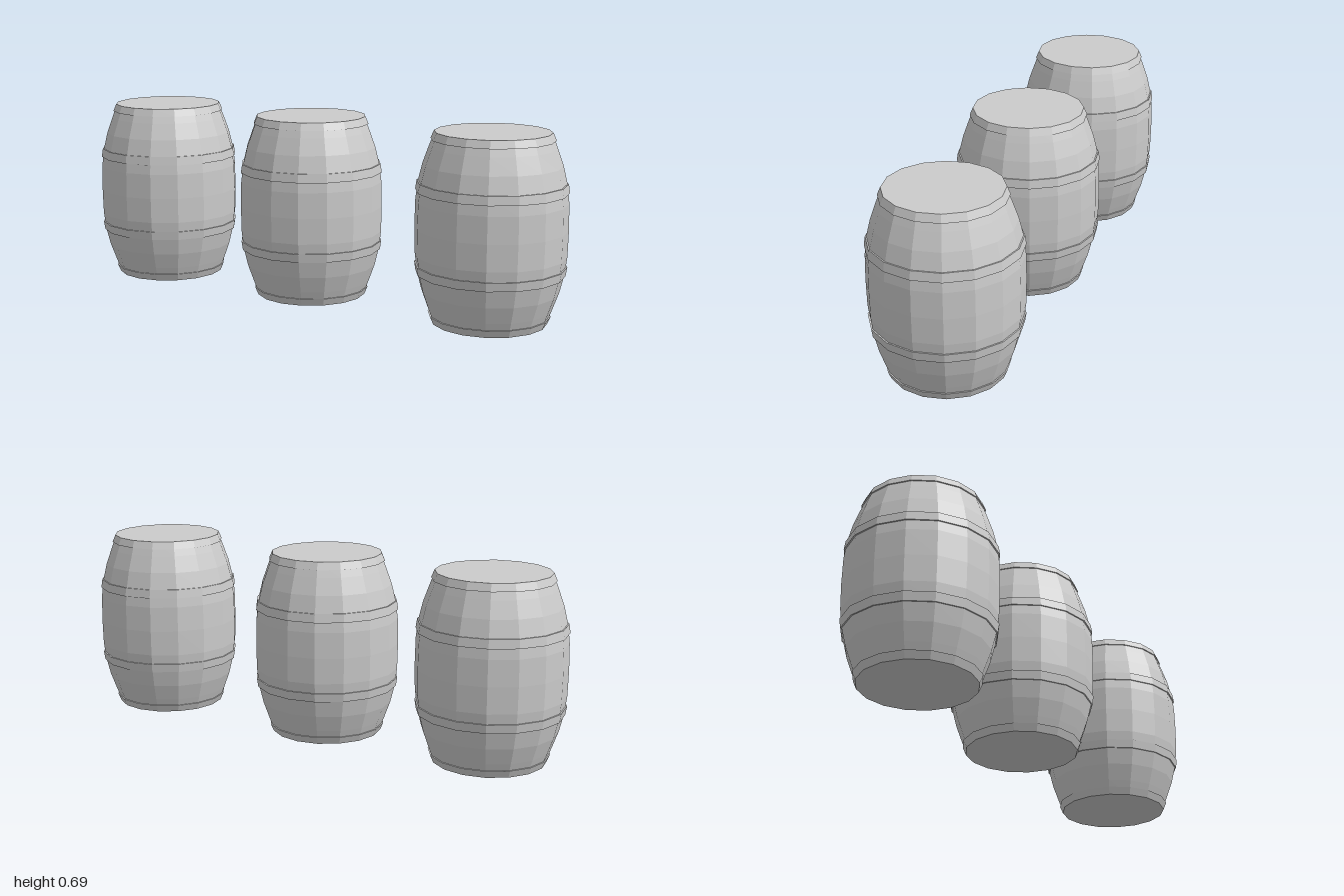
import * as THREE from 'three';

const SIDES = 16;
const HEIGHT = 0.693;
const material = new THREE.MeshStandardMaterial({ color: 0xcccccc, flatShading: true });

// Faceted solid of revolution from [radius, y] pairs, listed bottom to top
function turned(name, points) {
  const profile = points.map(([r, y]) => new THREE.Vector2(r, y));
  const mesh = new THREE.Mesh(new THREE.LatheGeometry(profile, SIDES), material);
  mesh.name = name;
  return mesh;
}

// Thin metal band; each edge is given as radius and height
function hoop(name, r0, y0, r1, y1, thickness = 0.015) {
  return turned(name, [
    [r0 - thickness, y0], [r0, y0], [r1, y1], [r1 - thickness, y1], [r0 - thickness, y0],
  ]);
}

function createBarrel() {
  const barrel = new THREE.Group();

  // Bulging staves, closed by flat ends, mirrored about mid height
  const lower = [[0, 0], [0.205, 0], [0.226, 0.055], [0.248, 0.117], [0.264, 0.183], [0.272, 0.25]];
  const upper = lower.map(([r, y]) => [r, HEIGHT - y]).reverse();
  barrel.add(turned('staves', [...lower, [0.274, HEIGHT / 2], ...upper]));

  // End hoops and belly hoops
  barrel.add(
    hoop('bottomHoop', 0.209, 0, 0.221, 0.028),
    hoop('lowerHoop', 0.268, 0.18, 0.273, 0.213),
    hoop('upperHoop', 0.273, 0.48, 0.268, 0.513),
    hoop('topHoop', 0.221, 0.665, 0.209, HEIGHT),
  );
  return barrel;
}

export function createModel() {
  const model = new THREE.Group();
  model.name = 'barrels';
  const places = { rightBarrel: -0.726, middleBarrel: -0.035, leftBarrel: 0.726 };
  for (const [name, x] of Object.entries(places)) {
    const barrel = createBarrel();
    barrel.name = name;
    barrel.position.x = x;
    model.add(barrel);
  }
  return model;
}
